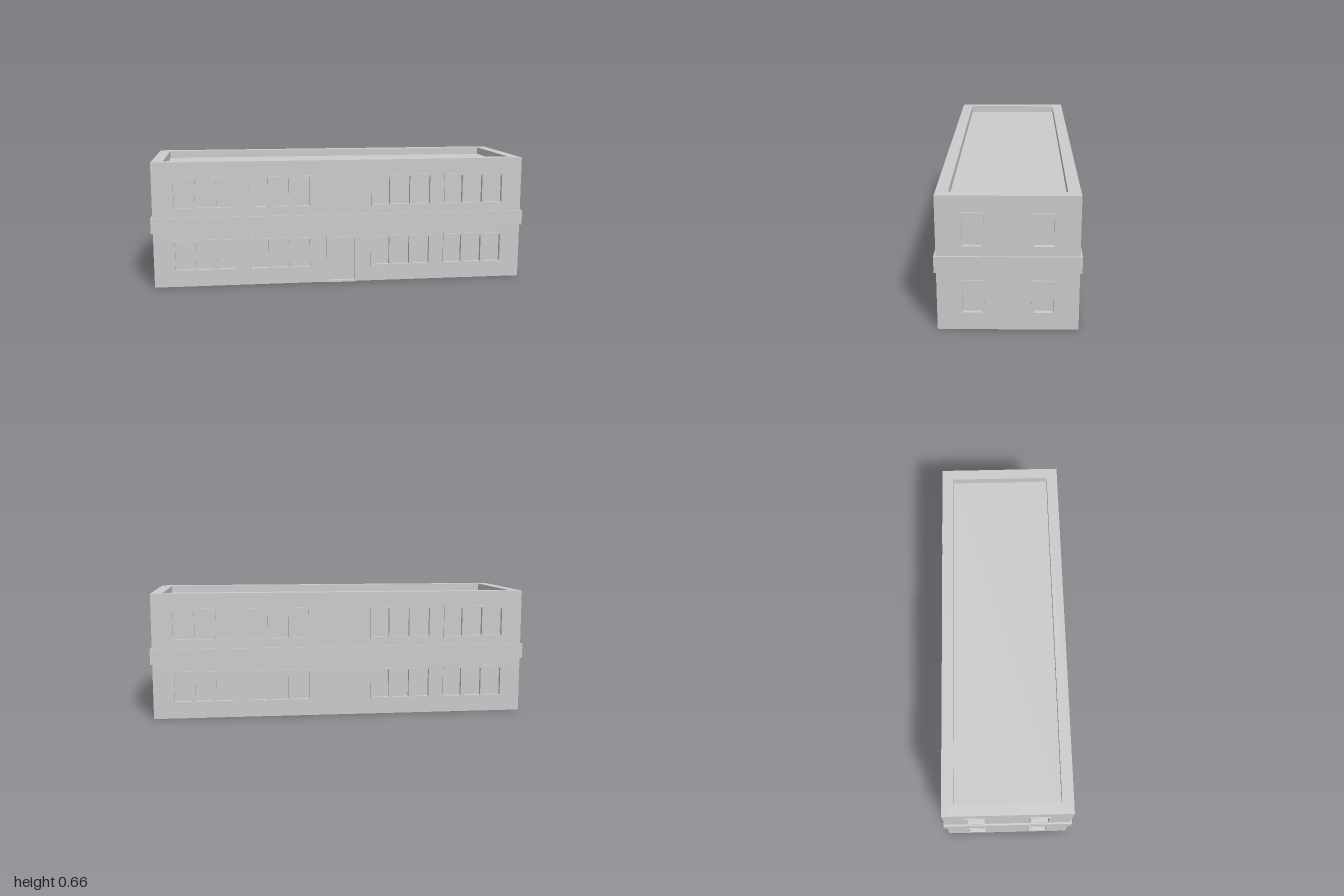
import * as THREE from 'three';

const material = new THREE.MeshStandardMaterial({
  color: 0xcccccc, flatShading: true, side: THREE.DoubleSide,
});

// Main sizes: half length, half depth, floor band and roof
const HX = 0.99, HZ = 0.33, BAND = [0.29, 0.37], TOP = 0.66;
const CELL = 0.11, TRIM = 0.01;

// Rectangle loop in the xy plane at depth z
function rect(x0, x1, y0, y1, z) {
  return [[x0, y0, z], [x1, y0, z], [x1, y1, z], [x0, y1, z]];
}

// Joins rectangle loops with quads; optionally closes the last loop
function loft(name, loops, cap) {
  const pos = [];
  const quad = (a, b, c, d) => pos.push(...a, ...b, ...c, ...a, ...c, ...d);
  for (let k = 0; k + 1 < loops.length; k++) {
    const a = loops[k], b = loops[k + 1];
    for (let i = 0; i < 4; i++) {
      const j = (i + 1) % 4;
      quad(a[i], a[j], b[j], b[i]);
    }
  }
  if (cap) quad(...loops[loops.length - 1]);
  const geometry = new THREE.BufferGeometry();
  geometry.setAttribute('position', new THREE.Float32BufferAttribute(pos, 3));
  geometry.computeVertexNormals();
  return mesh(name, geometry);
}

function mesh(name, geometry) {
  const m = new THREE.Mesh(geometry, material);
  m.name = name;
  return m;
}

// Raised trim around a row of recessed panes
function opening(name, x0, y0, width, height, count, raise, recess) {
  const group = new THREE.Group();
  group.name = name;
  const x1 = x0 + width * count, y1 = y0 + height;
  group.add(loft(name + 'Edge', [rect(x0, x1, y0, y1, 0), rect(x0, x1, y0, y1, raise)], false));
  for (let i = 0; i < count; i++) {
    const a = x0 + i * width, b = a + width;
    const inner = (z) => rect(a + TRIM, b - TRIM, y0 + TRIM, y1 - TRIM, z);
    group.add(loft(name + 'Pane', [rect(a, b, y0, y1, raise), inner(raise), inner(raise - recess)], true));
  }
  return group;
}

// One facade: two storeys of thin wall with window rows, and a door if wanted
function facade(name, half, starts, count, hasDoor) {
  const group = new THREE.Group();
  group.name = name;
  const storeys = [[0, BAND[0], 0.08], [BAND[1], TOP, 0.41]];
  storeys.forEach(([y0, y1, sill], storey) => {
    const outline = [[-half, y0]];
    if (hasDoor && storey === 0) outline.push([-0.08, 0], [-0.08, 0.25], [0.08, 0.25], [0.08, 0]);
    outline.push([half, y0], [half, y1], [-half, y1]);
    const shape = new THREE.Shape(outline.map((p) => new THREE.Vector2(...p)));
    for (const x of starts) {
      const hole = rect(x, x + CELL * count, sill, sill + 0.17, 0);
      shape.holes.push(new THREE.Path(hole.map((p) => new THREE.Vector2(p[0], p[1]))));
      group.add(opening('window', x, sill, CELL, 0.17, count, 0.007, 0.022));
    }
    group.add(mesh('wall', new THREE.ShapeGeometry(shape)));
  });
  if (hasDoor) group.add(opening('door', -0.08, 0, 0.16, 0.25, 1, 0.01, 0.02));
  return group;
}

export function createModel() {
  const model = new THREE.Group();
  model.name = 'building';

  // Long front and back, short ends
  const longStarts = [-0.89, -0.49, 0.16, 0.56], endStarts = [-0.22, 0.11];
  const sides = [
    ['frontFacade', HX, longStarts, 3, true, HZ],
    ['leftFacade', HZ, endStarts, 1, false, HX],
    ['backFacade', HX, longStarts, 3, false, HZ],
    ['rightFacade', HZ, endStarts, 1, false, HX],
  ];
  sides.forEach(([name, half, starts, count, hasDoor, distance], i) => {
    const side = facade(name, half, starts, count, hasDoor);
    const angle = i * Math.PI / 2;
    side.rotation.y = angle;
    side.position.set(Math.sin(angle) * distance, 0, Math.cos(angle) * distance);
    model.add(side);
  });

  // Horizontal rings, lofted upward
  const ring = (x, z, y) => rect(-x, x, -z, z, y);
  const band = loft('floorBand', [
    ring(HX, HZ, BAND[0]), ring(1, 0.34, BAND[0]), ring(1, 0.34, BAND[1]), ring(HX, HZ, BAND[1]),
  ], false);

  // Parapet top and sunken flat roof
  const roof = loft('roof', [
    ring(HX, HZ, TOP), ring(0.93, 0.27, TOP), ring(0.93, 0.27, TOP - 0.04),
  ], true);

  for (const part of [band, roof]) {
    part.rotation.x = -Math.PI / 2;
    model.add(part);
  }
  return model;
}
